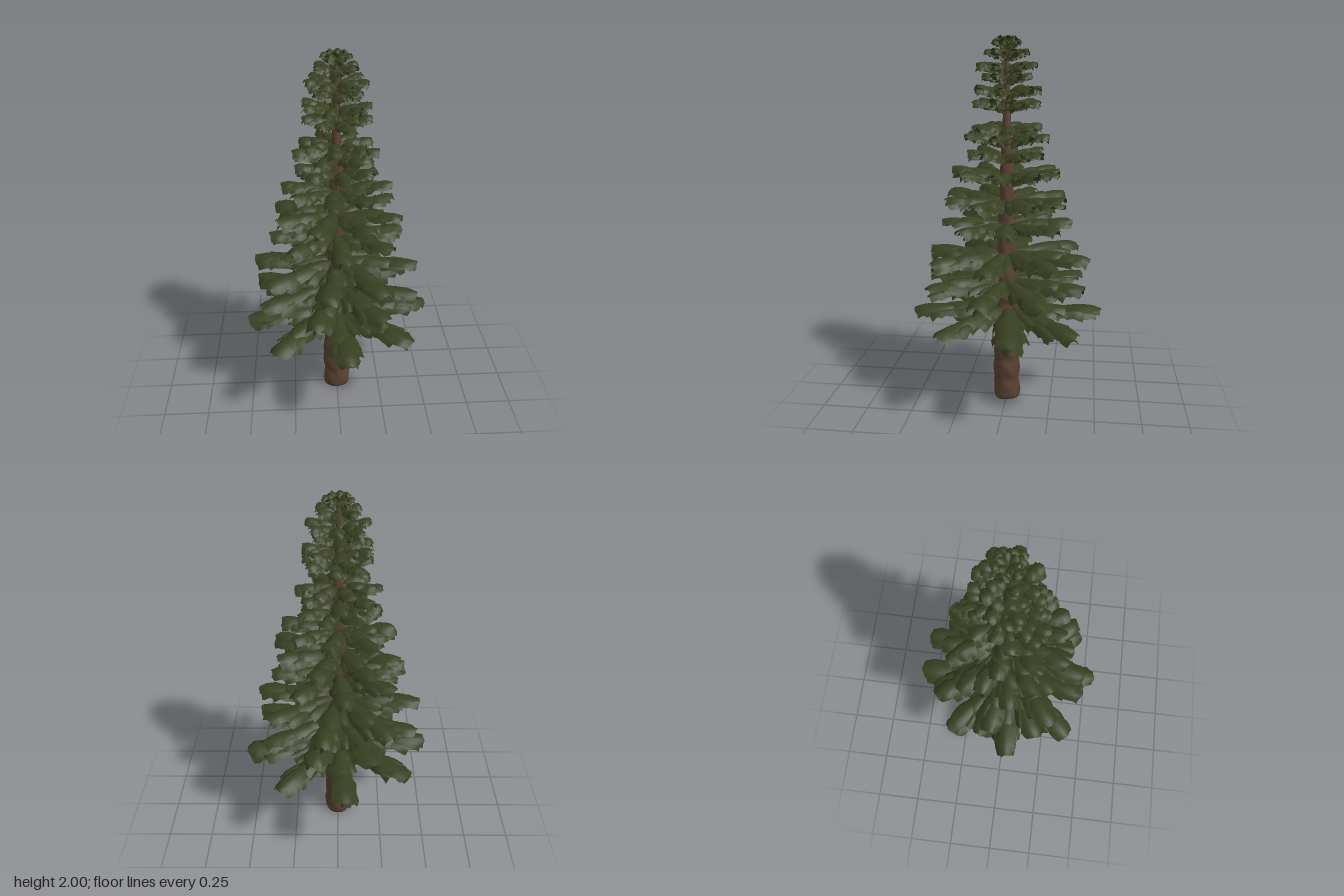
import * as THREE from 'three';
import { mergeGeometries } from 'three/addons/utils/BufferGeometryUtils.js';

// Small seeded random generator, returns -1..1
let seed = 7;
function rnd() {
  seed = (seed * 16807) % 2147483647;
  return (seed / 2147483647) * 2 - 1;
}

// One arched spray: runs along +x with parallel ragged sides and a blunt tip
function spray(length, width, arch) {
  const rows = 8, cols = 6, pos = [], index = [];
  for (let i = 0; i <= rows; i++) {
    const t = i / rows;
    const tip = Math.max(0, (t - 0.7) / 0.3);
    const half = (width / 2) * Math.min(1, 0.5 + 1.6 * t) * Math.sqrt(1 - 0.4 * tip * tip);
    for (let j = 0; j <= cols; j++) {
      const u = (j / cols) * 2 - 1;
      const edge = Math.abs(u) === 1 ? 1 : 0;
      const rag = edge || i === rows ? 1 : 0;
      pos.push(
        length * (t - 0.06 * tip * u * u) + rag * rnd() * length * 0.025,
        arch * (0.25 * Math.sin(Math.PI * t) - 0.9 * Math.abs(u) ** 2.2 - 0.3 * tip * tip) + rag * rnd() * arch * 0.3,
        half * u * (1 + edge * rnd() * 0.1)
      );
      if (i < rows && j < cols) {
        const a = i * (cols + 1) + j, b = a + cols + 1;
        index.push(a, a + 1, b, a + 1, b + 1, b);
      }
    }
  }
  const g = new THREE.BufferGeometry();
  g.setAttribute('position', new THREE.Float32BufferAttribute(pos, 3));
  g.setIndex(index);
  g.computeVertexNormals();
  return g;
}

// Sprays on a branch: start, length (shares of reach), yaw, lift, width factor
const SPRAYS = [
  [0.52, 0.48, 0, 0.5, 1],
  [0.22, 0.50, 0, 0.65, 0.95],
  [0.36, 0.48, 0.22, 0.2, 0.65],
  [0.36, 0.48, -0.22, 0.2, 0.65],
  [0.46, 0.52, 0.05, 0.05, 0.85],
  [0.08, 0.50, -0.05, 0.0, 0.8],
  [0.05, 0.42, 0, 0.6, 0.8],
  [0.12, 0.44, 0.3, 0.35, 0.65],
  [0.12, 0.44, -0.3, 0.35, 0.65],
];

// A branch of overlapping sprays along +x; short branches carry fewer
function branch(reach, slope) {
  const width = 0.04 + 0.17 * reach;
  const arch = 0.014 + 0.045 * reach;
  const parts = SPRAYS.slice(0, reach < 0.25 ? 6 : 9).map(([start, len, yaw, lift, w]) => {
    const g = spray(len * reach, width * w, arch);
    g.rotateX(rnd() * 0.22);
    g.rotateZ(rnd() * 0.06);
    g.rotateY(yaw + rnd() * 0.06);
    g.translate(start * reach, lift * arch * 1.6 + rnd() * 0.003, rnd() * 0.006);
    return g;
  });
  return mergeGeometries(parts).rotateZ(slope);
}

// Tiers: height at trunk, height at tip, reach, angle of first branch in degrees
const TIERS = [
  [0.515, 0.505, 0.515, -6], [0.665, 0.685, 0.47, 16], [0.825, 0.845, 0.46, 9],
  [0.985, 1.03, 0.37, -5], [1.115, 1.16, 0.355, 18], [1.25, 1.305, 0.3, 5],
  [1.36, 1.405, 0.22, 30], [1.445, 1.495, 0.235, 12], [1.515, 1.535, 0.195, -8],
  [1.625, 1.67, 0.185, 20], [1.695, 1.735, 0.185, 2], [1.765, 1.8, 0.14, 24],
  [1.815, 1.855, 0.165, 14], [1.88, 1.925, 0.125, 33], [1.935, 1.98, 0.085, 8],
];

export function createModel() {
  seed = 7;
  const model = new THREE.Group();
  model.name = 'conifer';
  const bark = new THREE.MeshStandardMaterial({ color: 0x594233, side: THREE.DoubleSide });
  bark.name = 'bark brown';
  const needles = new THREE.MeshStandardMaterial({ color: 0x373f21, side: THREE.DoubleSide });
  needles.name = 'needle green';
  const add = (name, geometry, material) => {
    const mesh = new THREE.Mesh(geometry, material);
    mesh.name = name;
    model.add(mesh);
  };

  // Trunk: tapering, ringed by swollen collars, hollowed underneath
  const radiusAt = (y) => 0.07 * (1 - Math.pow(y / 2, 1.3)) + 0.003;
  const profile = [new THREE.Vector2(0.001, 0.03), new THREE.Vector2(0.05, 0.03), new THREE.Vector2(0.06, 0)];
  for (let y = 0.004; y <= 1.96; y += 0.0163) {
    const ring = (y / 0.115) % 1;
    const swell = 0.94 + 0.13 * Math.sqrt(Math.sin(Math.PI * ring)) + 0.04 * Math.sin(y * 17 - 3);
    profile.push(new THREE.Vector2(radiusAt(y) * swell, y));
  }
  profile.push(new THREE.Vector2(0.001, 1.97));
  const trunk = new THREE.LatheGeometry(profile, 20);
  const p = trunk.attributes.position;
  for (let i = 0; i < p.count; i++) {
    const a = Math.atan2(p.getZ(i), p.getX(i)), y = p.getY(i);
    const k = 1 + 0.035 * Math.sin(3 * a + y * 23) + 0.025 * Math.sin(5 * a - y * 57);
    p.setX(i, p.getX(i) * k);
    p.setZ(i, p.getZ(i) * k);
    // Bark rings run slightly aslant
    if (y > 0.04) p.setY(i, y + 0.008 * Math.sin(a + y * 9));
  }
  trunk.computeVertexNormals();
  add('trunk', trunk, bark);

  // Stubs of lost lower branches
  [[0.27, -95], [0.35, 80], [0.44, 200], [0.44, 60], [0.44, -40], [0.45, 130]].forEach(([y, deg]) => {
    const g = new THREE.CylinderGeometry(0.011, 0.02, 0.03, 8);
    g.rotateZ(-Math.PI / 2).translate(radiusAt(y) + 0.003, y, 0);
    add('branchStub', g.rotateY(THREE.MathUtils.degToRad(-deg)), bark);
  });

  // Branch tiers, each with its wooden limbs
  TIERS.forEach(([y0, y1, reach, offset], n) => {
    const count = reach < 0.15 ? 6 : reach < 0.25 ? 7 : 8;
    const slope = Math.atan2(y1 - y0, reach);
    const greens = [], limbs = [];
    for (let i = 0; i < count; i++) {
      const angle = -THREE.MathUtils.degToRad(offset + (i * 360) / count + rnd() * 3);
      const r = reach * (0.99 + 0.03 * rnd());
      greens.push(branch(r, slope + rnd() * 0.03).rotateY(angle).translate(0, y0, 0));
      const limb = new THREE.CylinderGeometry(0.002, 0.004 + 0.014 * reach, r * 0.5, 6);
      limb.rotateZ(-Math.PI / 2).translate(r * 0.25, -0.004, 0);
      limbs.push(limb.rotateZ(slope).rotateY(angle).translate(0, y0, 0));
    }
    add('foliageTier' + (n + 1), mergeGeometries(greens), needles);
    add('limbs' + (n + 1), mergeGeometries(limbs), bark);
  });

  // Crown tuft of small upright sprays
  const tuft = [];
  for (let i = 0; i < 6; i++) {
    tuft.push(spray(0.055, 0.04, 0.012).rotateZ(0.7).rotateY(i * 1.05 + 0.3).translate(0, 1.965, 0));
  }
  add('crownTuft', mergeGeometries(tuft), needles);
  return model;
}
